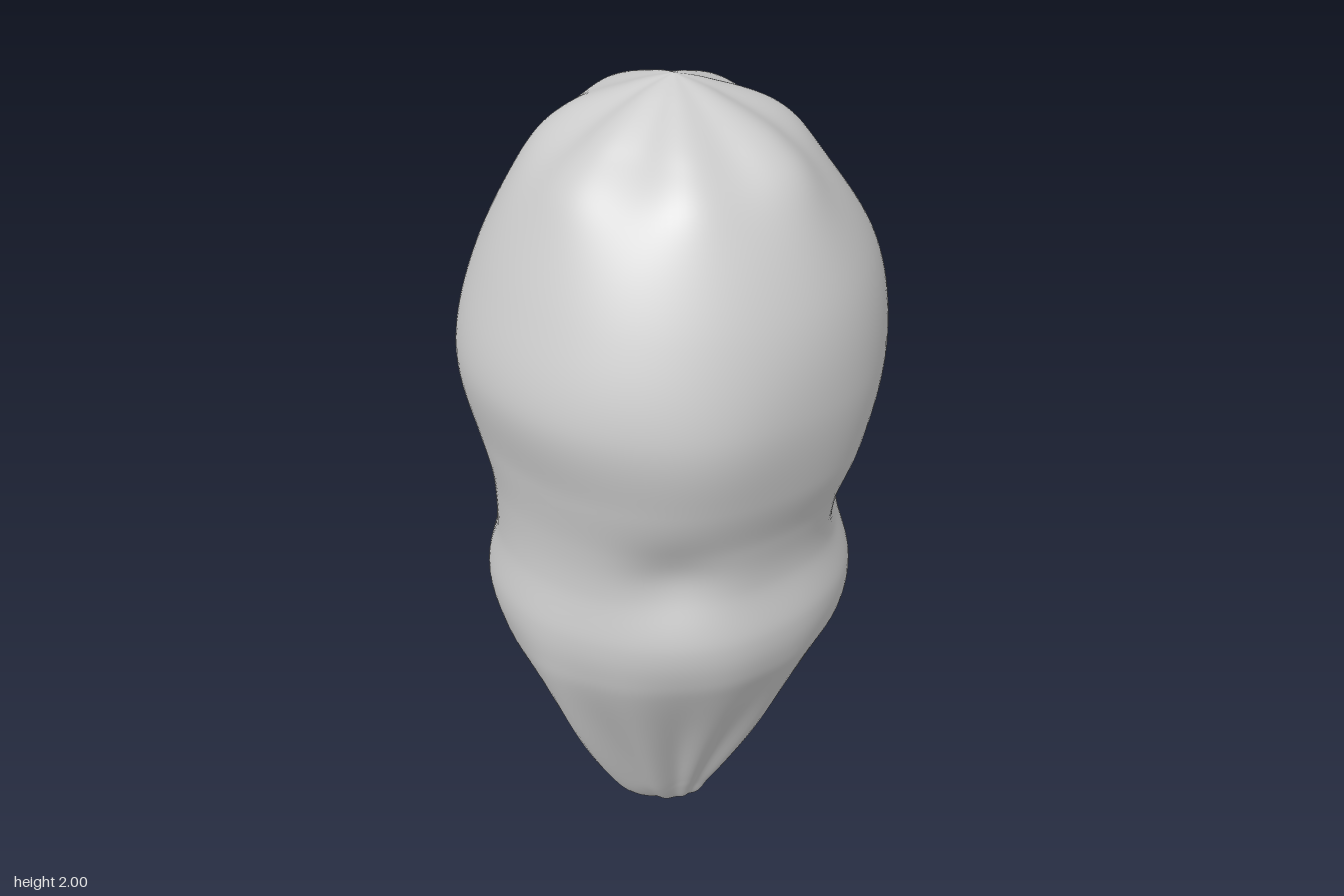
import * as THREE from 'three';
import { mergeVertices } from 'three/addons/utils/BufferGeometryUtils.js';

// Height, then radius towards the front, left, back and right
const ROWS = [
  [0, 0, 0, 0, 0],
  [0.03, 0.08, 0.07, 0.07, 0.10],
  [0.1, 0.15, 0.11, 0.12, 0.16],
  [0.2, 0.21, 0.165, 0.17, 0.21],
  [0.4, 0.31, 0.27, 0.275, 0.30],
  [0.6, 0.40, 0.365, 0.355, 0.38],
  [0.7, 0.43, 0.405, 0.40, 0.41],
  [0.8, 0.44, 0.415, 0.41, 0.42],
  [0.93, 0.425, 0.39, 0.38, 0.40],
  [1.05, 0.43, 0.405, 0.39, 0.41],
  [1.2, 0.455, 0.45, 0.44, 0.45],
  [1.4, 0.49, 0.47, 0.49, 0.47],
  [1.6, 0.43, 0.44, 0.45, 0.43],
  [1.8, 0.32, 0.34, 0.31, 0.33],
  [1.9, 0.20, 0.24, 0.22, 0.24],
  [1.97, 0.08, 0.10, 0.08, 0.09],
  [2, 0, 0, 0, 0],
];

// Local dents (-) and bulges (+): angle from front towards left, height, angle spread, height spread, depth
const BUMPS = [
  [0.8, 0.35, 0.4, 0.3, -0.03],
  [0.95, 1.35, 0.35, 0.2, 0.02],
  [0.75, 0.98, 0.25, 0.1, -0.03],
  [2.15, 1.08, 0.2, 0.13, -0.035],
  [2.6, 1.2, 0.2, 0.15, 0.015],
  [-0.85, 1.12, 0.4, 0.1, -0.015],
  [-2.3, 1.1, 0.25, 0.12, -0.02],
  [-0.8, 0.78, 0.4, 0.1, 0.015],
  [0, 0.3, 0.15, 0.3, 0.015],
];

const SIDES = 128, STEPS = 160;
const gauss = (d, s) => Math.exp(-((d / s) ** 2));
const wrap = (a) => Math.atan2(Math.sin(a), Math.cos(a));

function createSkin() {
  const curves = [1, 2, 3, 4].map(
    (k) => new THREE.SplineCurve(ROWS.map((row) => new THREE.Vector2(row[k], row[0]))));
  const profile = curves[0].getPoints(STEPS);
  const sections = curves.map((c) => c.getPoints(STEPS).map((p) => Math.max(p.x, 0)));

  const geometry = new THREE.LatheGeometry(profile, SIDES);
  const pos = geometry.attributes.position;
  for (let i = 0; i <= SIDES; i++) {
    const a = (i / SIDES) * Math.PI * 2;
    const q = a / (Math.PI / 2), k = Math.floor(q);
    const blend = (1 - Math.cos((q - k) * Math.PI)) / 2;
    for (let j = 0; j <= STEPS; j++) {
      const y = THREE.MathUtils.clamp(profile[j].y, 0, 2);
      const base = THREE.MathUtils.lerp(sections[k % 4][j], sections[(k + 1) % 4][j], blend);
      // Pleats gathered at the lower tip and creases radiating from the crown
      const pleats = 0.05 * gauss(y - 0.22, 0.3) * (Math.cos(12 * a) + 0.5 * Math.cos(7 * a + 1));
      const crown = 0.07 * gauss(y - 1.95, 0.13) * (Math.cos(7 * a + 0.4) + 0.4 * Math.cos(4 * a));
      const waves = 0.012 * Math.sin(5 * a + 4 * y) * gauss(y - 1, 0.7);
      let r = base * (1 + 0.8 * pleats + crown + waves);
      if (j > 0 && j < STEPS) {
        for (const [ba, by, sa, sy, depth] of BUMPS) {
          r += depth * gauss(wrap(a - ba), sa) * gauss(y - by, sy) * Math.min(1, base / 0.15);
        }
      }
      pos.setXYZ(i * (STEPS + 1) + j, r * Math.sin(a), y, r * Math.cos(a));
    }
  }

  // Weld the seam so that the shading is smooth all round
  geometry.deleteAttribute('uv');
  geometry.deleteAttribute('normal');
  const welded = mergeVertices(geometry, 1e-5);
  welded.computeVertexNormals();
  return welded;
}

export function createModel() {
  const group = new THREE.Group();
  group.name = 'wrinkledPod';
  const body = new THREE.Mesh(createSkin(), new THREE.MeshStandardMaterial({ color: 0xcccccc }));
  body.name = 'podBody';
  group.add(body);
  return group;
}
